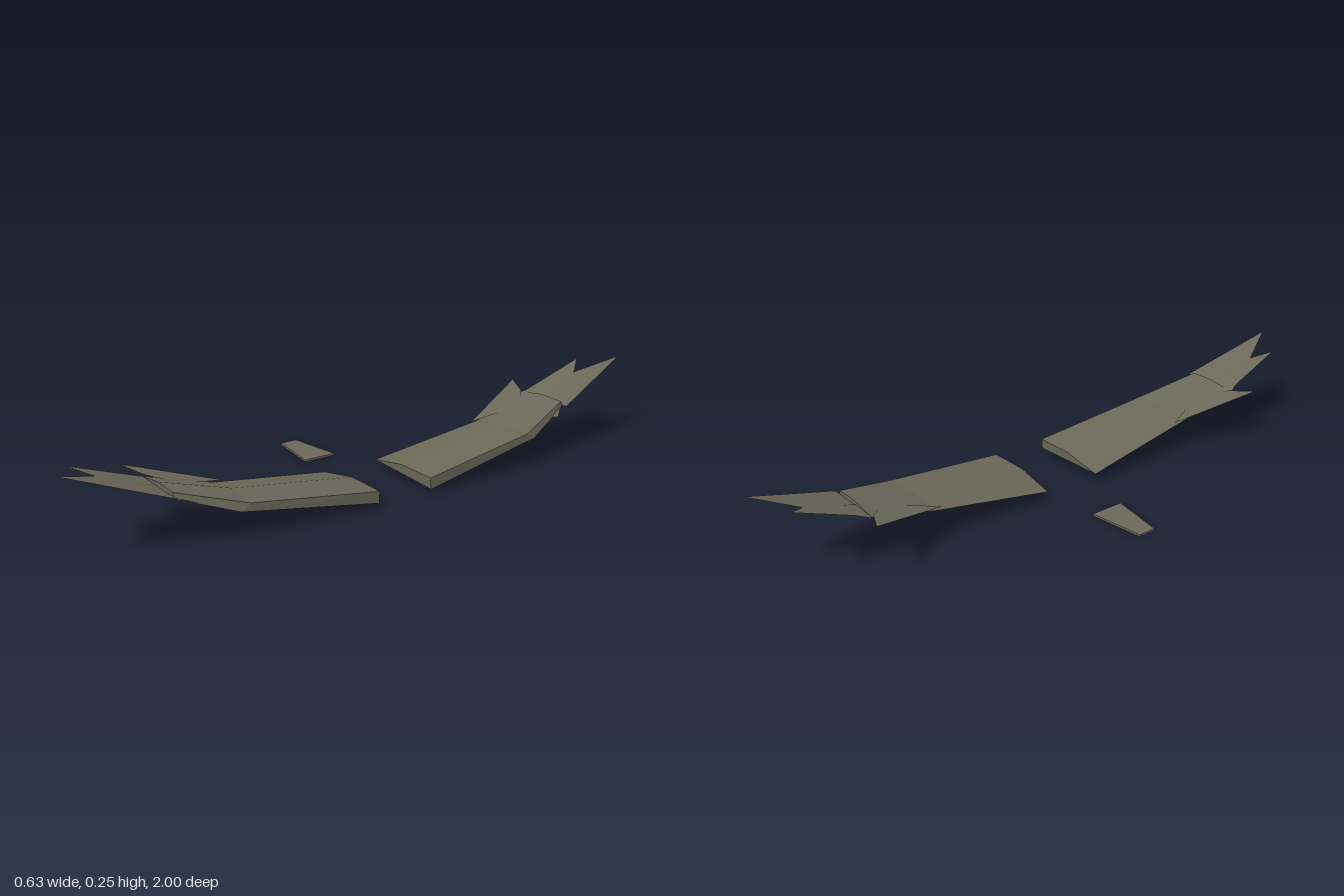
import * as THREE from 'three';

const plumage = new THREE.MeshStandardMaterial({ color: 0x6b6859 });
plumage.name = 'grey brown plumage';
const featherVane = new THREE.MeshStandardMaterial({ color: 0x6b6859, side: THREE.DoubleSide });
featherVane.name = 'grey brown feather';

// Flat-shaded geometry from triangles; side = -1 mirrors it across z
function facets(triangles, side) {
  const pos = [];
  for (const t of triangles) {
    const corners = side > 0 ? t : [t[0], t[2], t[1]];
    for (const [x, y, z] of corners) pos.push(x, y, z * side);
  }
  const g = new THREE.BufferGeometry();
  g.setAttribute('position', new THREE.Float32BufferAttribute(pos, 3));
  g.computeVertexNormals();
  return g;
}

// Fan of triangles over a polygon
const fan = (p) => p.slice(2).map((c, i) => [p[0], p[i + 1], c]);

// Joins equal cross-sections into a closed solid
function loft(sections) {
  const tris = [];
  for (let s = 0; s < sections.length - 1; s++) {
    const a = sections[s], b = sections[s + 1];
    a.forEach((_, i) => {
      const j = (i + 1) % a.length;
      tris.push([a[i], b[i], b[j]], [a[i], b[j], a[j]]);
    });
  }
  const tip = [...sections[sections.length - 1]].reverse();
  return [...tris, ...fan(sections[0]), ...fan(tip)];
}

// Wing sections: trailing edge, top crest, leading top, leading bottom, underside
const wingSections = [
  [[0.037, 0.027, 0.095], [0.175, 0.052, 0.092], [0.311, 0.05, 0.092], [0.313, 0.015, 0.095], [0.175, 0.035, 0.095]],
  [[0.06, 0.087, 0.49], [0.17, 0.104, 0.49], [0.284, 0.1, 0.5], [0.285, 0.081, 0.53], [0.17, 0.09, 0.51]],
  [[0.045, 0.146, 0.7], [0.14, 0.159, 0.7], [0.225, 0.156, 0.7], [0.23, 0.139, 0.7], [0.14, 0.14, 0.7]],
];

// Thin feathers, each a fan of flat facets
const feathers = {
  longTipFeather: [[0.185, 0.253, 1.0], [0.25, 0.145, 0.7], [0.04, 0.145, 0.7], [0.115, 0.203, 0.865]],
  secondTipFeather: [[0.067, 0.23, 0.926], [0.115, 0.205, 0.868], [0.14, 0.147, 0.7], [0.05, 0.147, 0.7]],
  trailingFeather: [[-0.037, 0.164, 0.732], [0.045, 0.15, 0.695], [0.12, 0.13, 0.62], [0.065, 0.089, 0.46]],
  leadingBarb: [[0.27, 0.124, 0.645], [0.225, 0.143, 0.7], [0.21, 0.115, 0.63]],
};

function makeWing(side) {
  const wing = new THREE.Group();
  wing.name = side > 0 ? 'frontWing' : 'backWing';
  const arm = new THREE.Mesh(facets(loft(wingSections), side), plumage);
  arm.name = 'wingArm';
  wing.add(arm);
  for (const [name, points] of Object.entries(feathers)) {
    const vane = new THREE.Mesh(facets(fan(points), side), featherVane);
    vane.name = name;
    wing.add(vane);
  }
  return wing;
}

export function createModel() {
  const model = new THREE.Group();
  model.name = 'birdWingsAndTail';
  for (const side of [1, -1]) model.add(makeWing(side));

  // Flat tapered tail, wider towards the wings
  const outline = new THREE.Shape([
    new THREE.Vector2(-0.313, -0.029), new THREE.Vector2(-0.13, -0.055),
    new THREE.Vector2(-0.13, 0.055), new THREE.Vector2(-0.313, 0.029),
  ]);
  const tailGeometry = new THREE.ExtrudeGeometry(outline, { depth: 0.007, bevelEnabled: false });
  tailGeometry.rotateX(-Math.PI / 2);
  const tail = new THREE.Mesh(tailGeometry, plumage);
  tail.name = 'tail';
  model.add(tail);
  return model;
}
